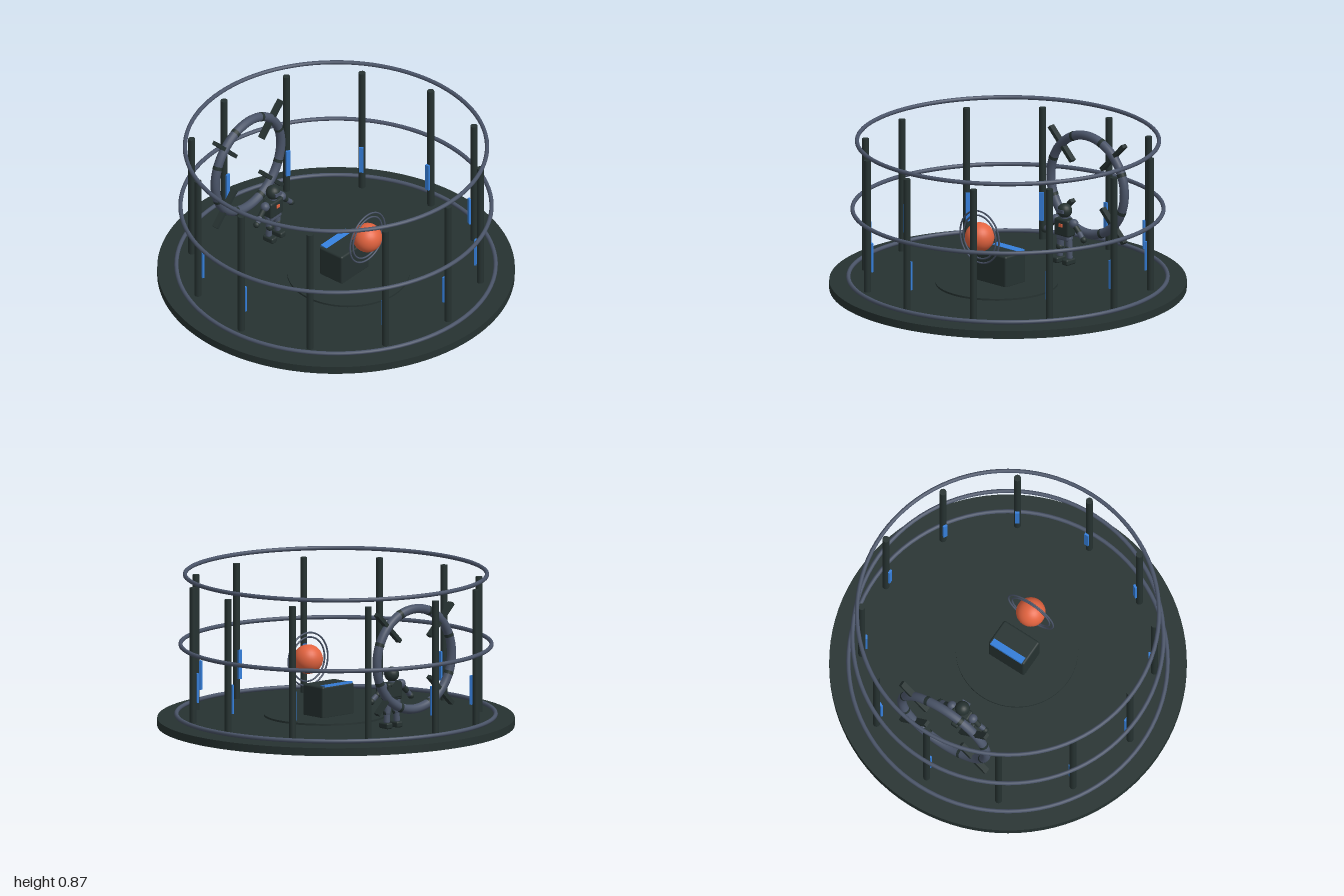
import * as THREE from 'three';
import { RoundedBoxGeometry } from 'three/addons/geometries/RoundedBoxGeometry.js';

const flat = (name, color) => {
  const m = new THREE.MeshStandardMaterial({ color });
  m.name = name;
  return m;
};

export function createModel() {
  const dark = flat('dark metal', 0x263231);
  const slate = flat('slate metal', 0x4a5468);
  const blue = flat('blue light', 0x357fdb);
  const orange = flat('orange glow', 0xe2633f);

  const root = new THREE.Group();
  root.name = 'chamber';
  const add = (parent, name, geo, mat, x = 0, y = 0, z = 0) => {
    const m = new THREE.Mesh(geo, mat);
    m.name = name;
    m.position.set(x, y, z);
    parent.add(m);
    return m;
  };
  const group = (name, x = 0, y = 0, z = 0, parent = root) => {
    const g = new THREE.Group();
    g.name = name;
    g.position.set(x, y, z);
    parent.add(g);
    return g;
  };

  // Round floor and the low inner disc
  add(root, 'floor', new THREE.CylinderGeometry(1, 1, 0.045, 96), dark, 0, 0.0225, 0);
  add(root, 'innerDisc', new THREE.CylinderGeometry(0.343, 0.343, 0.012, 64), dark, 0, 0.05, 0.09);

  // Three rails, narrowing upward
  [[0.893, 0.065], [0.87, 0.46], [0.845, 0.857]].forEach(([r, y]) => {
    add(root, 'rail', new THREE.TorusGeometry(r, 0.012, 10, 96), slate, 0, y, 0).rotation.x = Math.PI / 2;
  });

  // Twelve posts, each with a light strip on its inner side
  for (let i = 0; i < 12; i++) {
    const bay = group('postBay');
    bay.rotation.y = i * Math.PI / 6;
    add(bay, 'post', new THREE.CylinderGeometry(0.02, 0.02, 0.77, 12), dark, 0, 0.427, 0.82);
    add(bay, 'lightStrip', new THREE.BoxGeometry(0.025, 0.165, 0.012), blue, 0, 0.242, 0.793);
  }

  // Upright portal ring with four diagonal spokes and eight dark bands
  const portal = group('portal', 0, 0.46, -0.645);
  add(portal, 'portalRing', new THREE.TorusGeometry(0.284, 0.026, 14, 72), slate);
  for (let i = 0; i < 4; i++) {
    const a = Math.PI / 4 + i * Math.PI / 2;
    const s = add(portal, 'spoke', new THREE.BoxGeometry(0.24, 0.022, 0.035), dark,
      Math.cos(a) * 0.282, Math.sin(a) * 0.282, 0);
    s.rotation.z = a;
  }
  for (let i = 0; i < 8; i++) {
    add(portal, 'ringBand', new THREE.TorusGeometry(0.284, 0.0268, 14, 3, 0.07), dark)
      .rotation.z = Math.PI / 8 + i * Math.PI / 4 - 0.035;
  }

  // Control console with a sloped screen on top
  const consoleGroup = group('console');
  add(consoleGroup, 'consoleBody', new RoundedBoxGeometry(0.24, 0.185, 0.165, 3, 0.012), dark, 0, 0.14, 0.062);
  add(consoleGroup, 'screen', new THREE.BoxGeometry(0.21, 0.012, 0.042), blue, 0, 0.232, -0.002).rotation.x = 0.15;

  // Floating orb with thin rings
  const orb = group('orb', 0, 0.345, 0.23);
  add(orb, 'core', new THREE.SphereGeometry(0.083, 32, 20), orange);
  [0.15, 0.125].forEach((r) => add(orb, 'orbRing', new THREE.TorusGeometry(r, 0.005, 8, 64), slate));

  // Small suited figure
  const figure = group('figure', 0, 0, -0.46);
  add(figure, 'head', new THREE.SphereGeometry(0.042, 20, 14), dark, 0, 0.35, 0);
  add(figure, 'visor', new THREE.BoxGeometry(0.05, 0.02, 0.012), slate, 0, 0.352, 0.037);
  add(figure, 'neck', new THREE.CylinderGeometry(0.02, 0.022, 0.03, 12), slate, 0, 0.31, 0);
  add(figure, 'torso', new RoundedBoxGeometry(0.11, 0.1, 0.065, 2, 0.012), dark, 0, 0.255, 0);
  add(figure, 'backpack', new RoundedBoxGeometry(0.07, 0.075, 0.025, 2, 0.008), dark, 0, 0.26, -0.035);
  add(figure, 'chestLight', new THREE.BoxGeometry(0.024, 0.018, 0.008), orange, 0, 0.27, 0.035);
  add(figure, 'hips', new RoundedBoxGeometry(0.09, 0.04, 0.055, 2, 0.01), slate, 0, 0.2, 0);

  // Capsule limb running between two points
  const limb = (name, a, b, r, mat) => {
    const p = new THREE.Vector3(...a), q = new THREE.Vector3(...b);
    const d = q.clone().sub(p);
    const m = add(figure, name, new THREE.CapsuleGeometry(r, d.length(), 4, 12), mat);
    m.position.copy(p).addScaledVector(d, 0.5);
    m.quaternion.setFromUnitVectors(new THREE.Vector3(0, 1, 0), d.normalize());
  };
  for (const s of [-1, 1]) {
    add(figure, 'shoulder', new THREE.SphereGeometry(0.027, 14, 10), slate, s * 0.07, 0.287, 0);
    limb('upperArm', [s * 0.075, 0.28, 0], [s * 0.11, 0.245, 0], 0.016, dark);
    limb('forearm', [s * 0.11, 0.245, 0], [s * 0.138, 0.22, 0.005], 0.015, slate);
    add(figure, 'hand', new THREE.SphereGeometry(0.019, 12, 8), dark, s * 0.15, 0.21, 0.005);
    limb('thigh', [s * 0.03, 0.19, 0], [s * 0.035, 0.135, 0], 0.02, slate);
    add(figure, 'knee', new THREE.SphereGeometry(0.022, 12, 8), dark, s * 0.035, 0.135, 0.004);
    limb('shin', [s * 0.035, 0.13, 0], [s * 0.038, 0.085, 0], 0.018, slate);
    add(figure, 'boot', new RoundedBoxGeometry(0.045, 0.035, 0.075, 2, 0.01), dark, s * 0.038, 0.062, 0.008);
  }
  return root;
}
